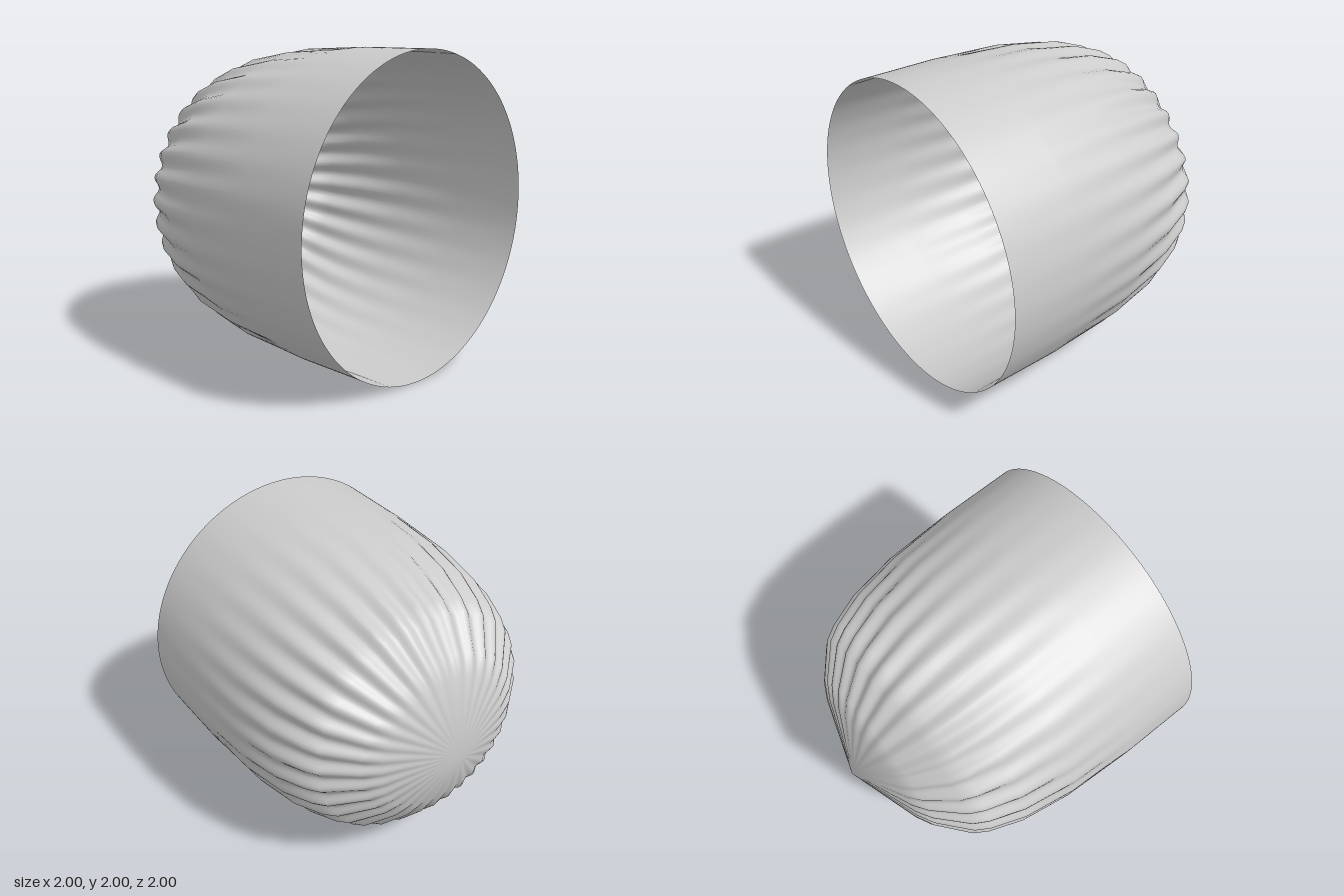
import * as THREE from 'three';
import { mergeVertices } from 'three/addons/utils/BufferGeometryUtils.js';

const FLUTES = 32;

// Rings from the pointed tip to the open rim: [axial position, ridge radius, groove depth]
const RINGS = [
  [-1, 0, 0],
  [-0.84, 0.48, 0.025],
  [-0.785, 0.585, 0.035],
  [-0.62, 0.78, 0.045],
  [-0.53, 0.835, 0.045],
  [-0.31, 0.917, 0.03],
  [0.03, 0.975, 0.012],
  [0.5, 0.998, 0],
  [1, 1, 0],
];

function flutedShell() {
  const profile = RINGS.map(([x, r]) => new THREE.Vector2(r, x));
  const geometry = new THREE.LatheGeometry(profile, FLUTES * 8);
  const pos = geometry.attributes.position;

  // Press soft grooves into the dome, fading out towards the rim
  for (let i = 0; i < pos.count; i++) {
    const [, radius, depth] = RINGS[i % RINGS.length];
    if (!radius) continue;
    const angle = Math.atan2(pos.getX(i), pos.getZ(i));
    const r = radius - depth * (0.5 - 0.5 * Math.cos(FLUTES * angle));
    pos.setX(i, r * Math.sin(angle));
    pos.setZ(i, r * Math.cos(angle));
  }

  // Weld the seam and tip so the normals run smoothly round
  geometry.deleteAttribute('uv');
  geometry.deleteAttribute('normal');
  const welded = mergeVertices(geometry, 1e-4);
  welded.rotateZ(-Math.PI / 2);
  welded.computeVertexNormals();
  return welded;
}

export function createModel() {
  const group = new THREE.Group();
  group.name = 'flutedDome';

  // Thin shell lying on its side: tip at -x, open rim at +x
  const shell = new THREE.Mesh(
    flutedShell(),
    new THREE.MeshStandardMaterial({ color: 0xcccccc, side: THREE.DoubleSide })
  );
  shell.name = 'shell';
  shell.position.y = 1;
  group.add(shell);
  return group;
}
